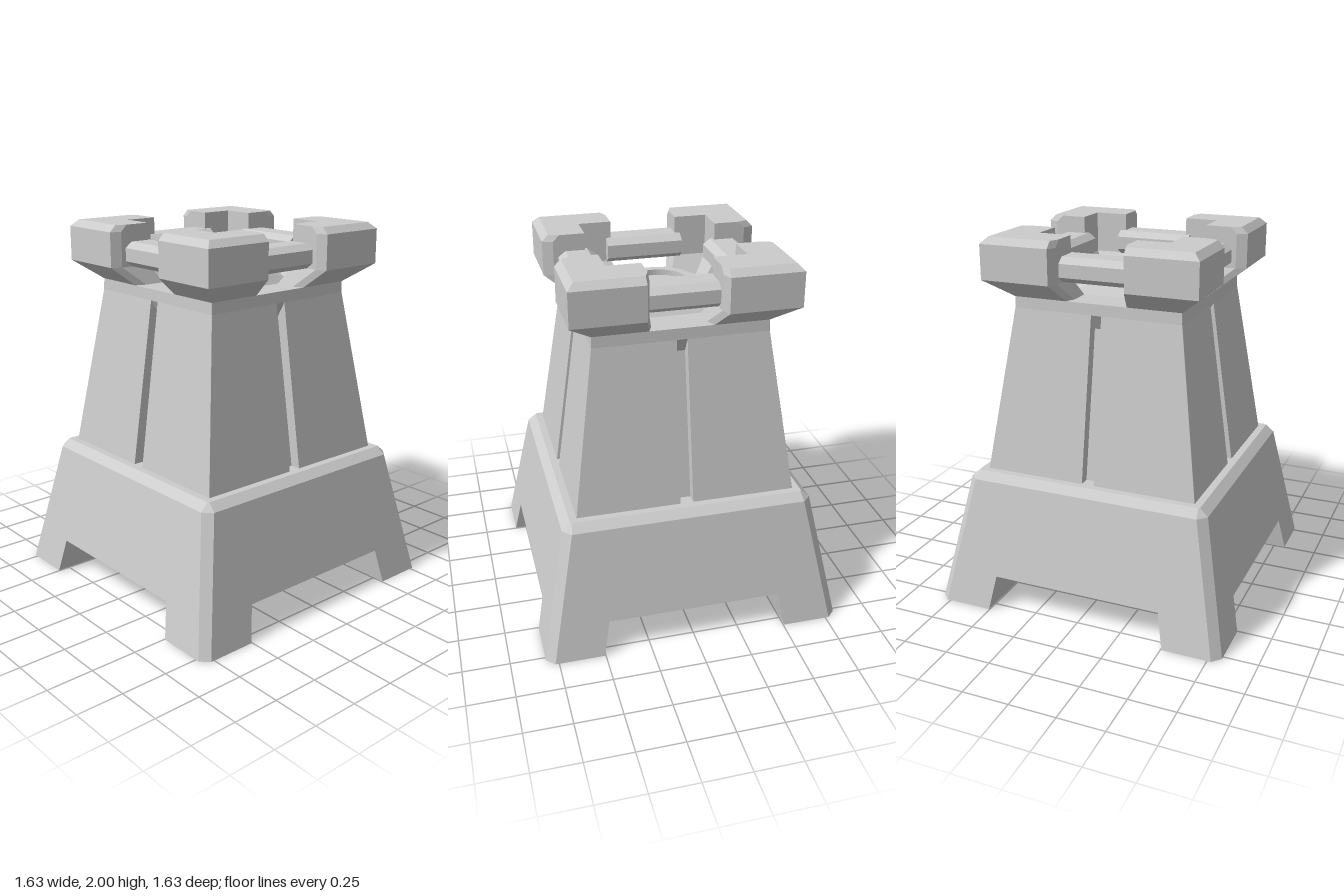
import * as THREE from 'three';

const material = new THREE.MeshStandardMaterial({ color: 0xcccccc, flatShading: true });

// Skin through stacked [y, outline] sections, capped at both ends.
// Outlines are [x, z] points running from +x towards +z.
function loft(sections) {
  const pos = [];
  const tri = (...points) => points.forEach((p) => pos.push(...p));
  const rings = sections.map(([y, outline]) => outline.map(([x, z]) => [x, y, z]));
  for (let k = 0; k < rings.length - 1; k++) {
    const a = rings[k], b = rings[k + 1];
    a.forEach((p, i) => {
      const j = (i + 1) % a.length;
      tri(p, b[i], b[j]);
      tri(p, b[j], a[j]);
    });
  }
  const cap = (ring, up) => {
    const flat = ring.map((p) => new THREE.Vector2(p[0], p[2]));
    for (const [a, b, c] of THREE.ShapeUtils.triangulateShape(flat, [])) {
      if (up) tri(ring[a], ring[c], ring[b]);
      else tri(ring[a], ring[b], ring[c]);
    }
  };
  cap(rings[0], false);
  cap(rings[rings.length - 1], true);
  const geometry = new THREE.BufferGeometry();
  geometry.setAttribute('position', new THREE.Float32BufferAttribute(pos, 3));
  geometry.computeVertexNormals();
  return geometry;
}

// Square of half-width h with corners cut by c along x and d along z
const octagon = (h, c, d = c) => [
  [h, -h + d], [h, h - d], [h - c, h], [-h + c, h],
  [-h, h - d], [-h, -h + d], [-h + c, -h], [h - c, -h],
];
// Corner block from g to o with its outer corner cut by c
const corner = (o, g, c) => [[o, g], [o, o - c], [o - c, o], [g, o], [g, g]];
// L-shaped corner: outer o, inner i, ends at g, ends chamfered outside
const ell = (o, i, g) => {
  const c = 0.055, e = g + 0.022;
  return [[o, e], [o, o], [e, o], [g, o - c], [g, i], [i, i], [i, g], [o - c, g]];
};

export function createModel() {
  const model = new THREE.Group();
  const add = (name, geometry, quarter = 0) => {
    const mesh = new THREE.Mesh(geometry, material);
    mesh.name = name;
    mesh.rotation.y = quarter * Math.PI / 2;
    model.add(mesh);
    return mesh;
  };

  // Flared base, hollow underneath
  add('base', loft([
    [0.3, octagon(0.65, 0.02)],
    [0.19, octagon(0.66, 0.02)],
    [0.777, 0.19], [0.675, 0.7], [0.63, 0.74],
  ].map((s) => (Array.isArray(s[1]) ? s : [s[1], octagon(s[0], s[1] > 0.72 ? 0.008 : 0.045)]))));

  // Tower core; its faces form the groove floors and the top band
  add('towerCore', loft([
    [0.7, octagon(0.539, 0.001)],
    [1.54, octagon(0.415, 0.001)],
    [1.62, octagon(0.462, 0.001)],
    [1.68, octagon(0.46, 0.001)],
  ]));

  const leg = loft([
    [0, corner(0.815, 0.505, 0.045)],
    [0.19, corner(0.777, 0.47, 0.045)],
    [0.31, corner(0.73, 0.465, 0.045)],
  ]);
  const post = loft([
    [0.73, corner(0.592, 0.035, 0.001)],
    [1.62, corner(0.462, 0.028, 0.001)],
  ]);
  const battlement = loft([
    [1.68, ell(0.46, 0.29, 0.145)],
    [1.78, ell(0.585, 0.36, 0.183)],
    [1.965, ell(0.585, 0.36, 0.183)],
    [2.0, ell(0.55, 0.36, 0.183)],
  ]);

  // Bevelled bar bridging two battlements
  const barShape = new THREE.Shape([
    [-0.1, -0.035], [-0.06, -0.065], [0.06, -0.065], [0.1, -0.035],
    [0.1, 0.035], [0.06, 0.065], [-0.06, 0.065], [-0.1, 0.035],
  ].map(([x, y]) => new THREE.Vector2(x, y)));
  const bar = new THREE.ExtrudeGeometry(barShape, { depth: 0.42, bevelEnabled: false })
    .translate(0.405, 1.845, -0.21);

  for (let q = 0; q < 4; q++) {
    add('leg', leg, q);
    add('towerCornerPanel', post, q);
    add('battlement', battlement, q);
    add('battlementBar', bar, q);
  }

  // Raised platform inside the battlements
  add('platform', loft([
    [1.68, octagon(0.285, 0.06)],
    [1.745, octagon(0.24, 0.12)],
  ]));

  // Round socket on the platform
  const socket = new THREE.LatheGeometry(
    [[0.19, 1.74], [0.19, 1.78], [0.145, 1.78], [0.145, 1.75], [0, 1.75]]
      .map(([x, y]) => new THREE.Vector2(x, y)), 40);
  const socketMesh = add('socket', socket);
  socketMesh.material = material.clone();
  socketMesh.material.side = THREE.DoubleSide;

  return model;
}
